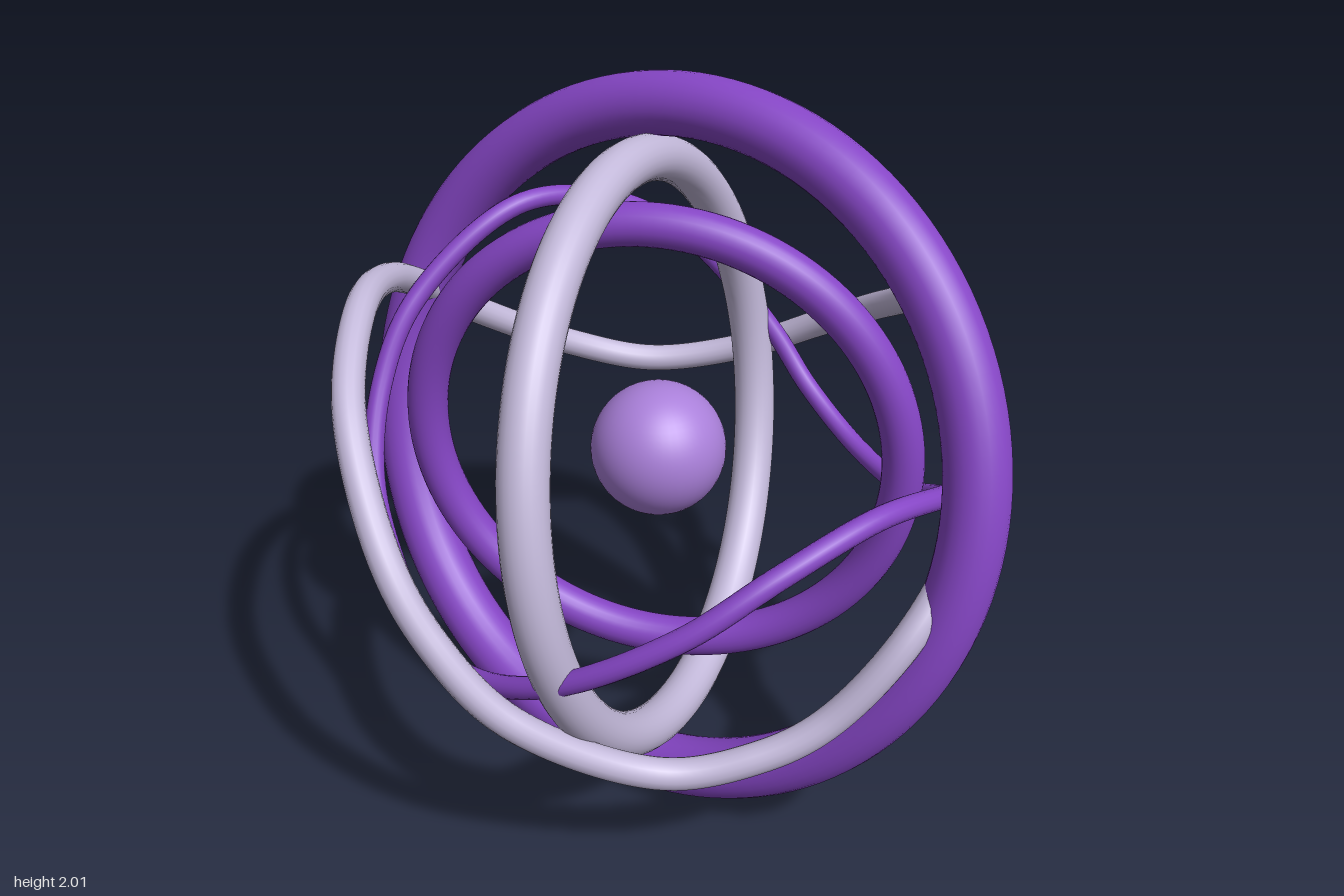
import * as THREE from 'three';

const CENTRE_Y = 1;

export function createModel() {
  const group = new THREE.Group();
  const purple = new THREE.MeshStandardMaterial({ color: 0x8646c6 });
  purple.name = 'purple';
  const lavender = new THREE.MeshStandardMaterial({ color: 0xc3b9da });
  lavender.name = 'paleLavender';
  const violet = new THREE.MeshStandardMaterial({ color: 0xaa80da });
  violet.name = 'lightViolet';

  function add(name, geometry, material) {
    const mesh = new THREE.Mesh(geometry, material);
    mesh.name = name;
    mesh.position.y = CENTRE_Y;
    group.add(mesh);
    return mesh;
  }

  // A round ring whose axis points along the given normal
  function addRing(name, radius, tube, normal, material) {
    const ring = add(name, new THREE.TorusGeometry(radius, tube, 24, 128), material);
    const axis = new THREE.Vector3(...normal).normalize();
    ring.quaternion.setFromUnitVectors(new THREE.Vector3(0, 0, 1), axis);
  }

  // A closed wavy loop lying on a sphere around the centre
  function addOrbit(name, radius, tube, points, material) {
    const onSphere = points.map((p) => new THREE.Vector3(...p).setLength(radius));
    const curve = new THREE.CatmullRomCurve3(onSphere, true, 'centripetal');
    add(name, new THREE.TubeGeometry(curve, 240, tube, 16, true), material);
  }

  // Core
  add('coreSphere', new THREE.SphereGeometry(0.19, 48, 32), violet);

  // Three tilted rings
  addRing('outerRing', 0.94, 0.086, [0.24, 0.22, 0.945], purple);
  addRing('middleRing', 0.798, 0.064, [0.888, 0.13, -0.44], lavender);
  addRing('innerRing', 0.68, 0.058, [0.575, -0.09, 0.813], purple);

  // Pale wavy loop
  addOrbit('paleOrbit', 0.9, 0.043, [
    [0, 0.02, 0.9], [0.14, -0.18, 0.88], [0.29, -0.4, 0.76], [0.5, -0.61, 0.43],
    [0.66, -0.57, 0.24], [0.76, -0.47, 0.1], [0.87, -0.22, -0.08], [0.85, 0, -0.3],
    [0.75, 0.21, -0.46], [0.56, 0.36, -0.61], [0.33, 0.34, -0.77], [0.06, 0.21, -0.88],
    [-0.2, 0.06, -0.88], [-0.45, -0.08, -0.78], [-0.68, -0.14, -0.58], [-0.82, -0.07, -0.36],
    [-0.89, 0.14, 0], [-0.84, 0.29, 0.2], [-0.7, 0.41, 0.41], [-0.5, 0.44, 0.62],
    [-0.25, 0.29, 0.81],
  ], lavender);

  // Thin purple wavy loop
  addOrbit('purpleOrbit', 0.825, 0.03, [
    [0.82, 0.14, 0.03], [0.76, 0.07, 0.3], [0.65, -0.07, 0.5], [0.4, -0.26, 0.68],
    [0.12, -0.38, 0.72], [-0.15, -0.43, 0.69], [-0.4, -0.36, 0.63], [-0.57, -0.14, 0.58],
    [-0.67, 0.1, 0.47], [-0.69, 0.32, 0.32], [-0.62, 0.55, 0], [-0.57, 0.5, -0.32],
    [-0.5, 0.36, -0.55], [-0.42, 0.2, -0.68], [-0.3, 0.02, -0.77], [-0.17, -0.13, -0.79],
    [0.05, -0.25, -0.78], [0.3, -0.27, -0.72], [0.5, -0.18, -0.63], [0.65, -0.06, -0.5],
    [0.77, 0.07, -0.27],
  ], purple);

  return group;
}
